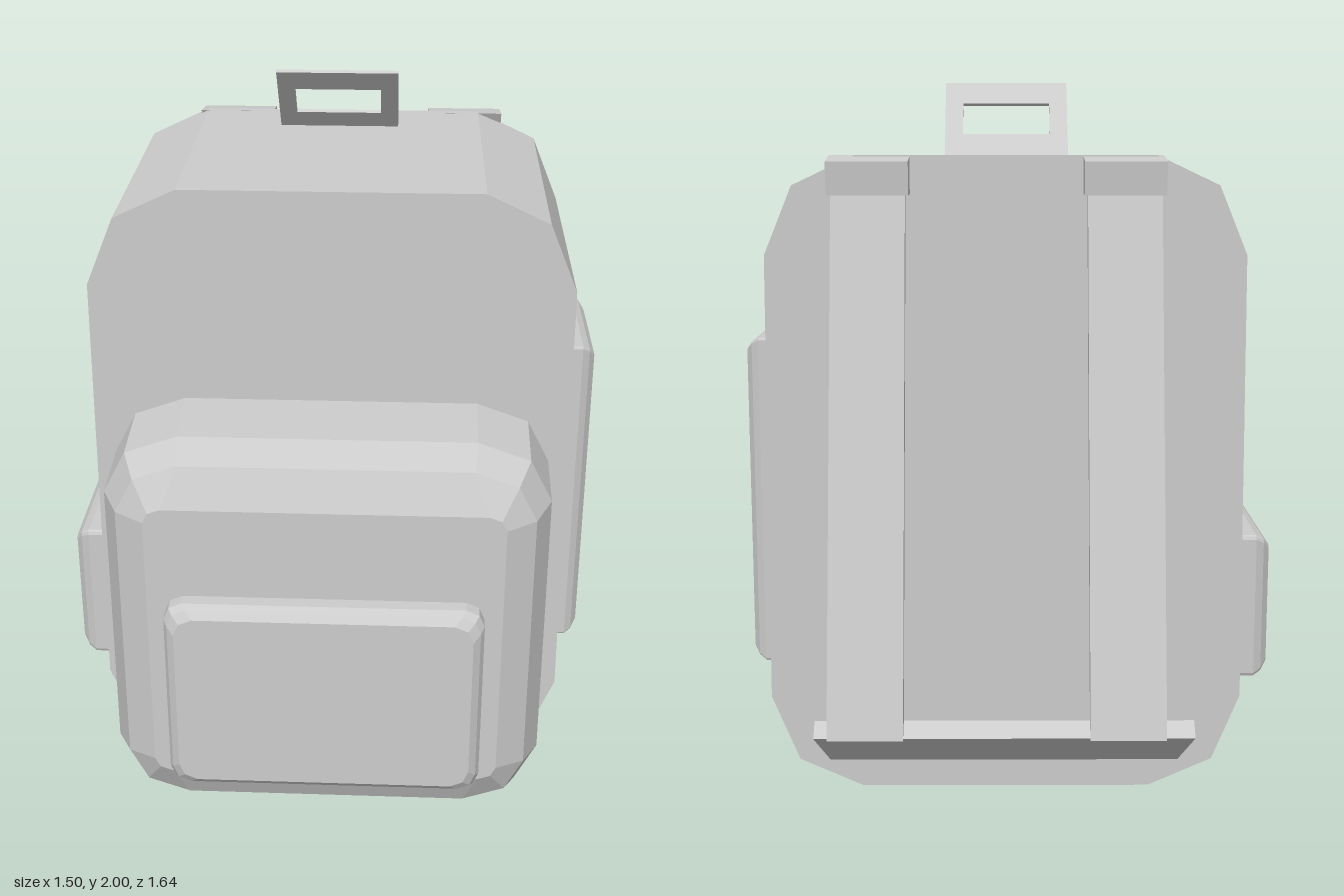
import * as THREE from 'three';

const material = new THREE.MeshStandardMaterial({ color: 0xcccccc, flatShading: true });

function addMesh(parent, name, geometry) {
  const mesh = new THREE.Mesh(geometry, material);
  mesh.name = name;
  parent.add(mesh);
  return mesh;
}

// Rectangle with two-step cut corners, counter-clockwise seen from +z
function ring({ x0, x1, y0, y1, cx, cy, z, taper = 0 }) {
  const kx = cx * 0.3, ky = cy * 0.3;
  const t = taper;
  return [
    [x0 + cx, y0], [x1 - cx, y0], [x1 - kx, y0 + ky], [x1, y0 + cy],
    [x1 - t, y1 - cy], [x1 - kx - t, y1 - ky], [x1 - cx, y1], [x0 + cx, y1],
    [x0 + kx + t, y1 - ky], [x0 + t, y1 - cy], [x0, y0 + cy], [x0 + kx, y0 + ky],
  ].map(([x, y]) => [x, y, z]);
}

// Closed solid through cross-sections ordered from back to front
function loft(sections) {
  const rings = sections.map(ring);
  const n = rings[0].length;
  const index = [];
  for (let s = 0; s < rings.length - 1; s++) {
    for (let i = 0; i < n; i++) {
      const j = (i + 1) % n;
      const a = s * n + i, b = s * n + j, c = b + n, d = a + n;
      index.push(a, b, c, a, c, d);
    }
  }
  const last = (rings.length - 1) * n;
  for (let i = 1; i < n - 1; i++) {
    index.push(0, i + 1, i, last, last + i, last + i + 1);
  }
  const geometry = new THREE.BufferGeometry();
  geometry.setAttribute('position', new THREE.Float32BufferAttribute(rings.flat(2), 3));
  geometry.setIndex(index);
  const flat = geometry.toNonIndexed();
  flat.computeVertexNormals();
  return flat;
}

// Side profile given as [z, y] points, extended from x0 to x1
function slab(profile, x0, x1) {
  const shape = new THREE.Shape(profile.map(([z, y]) => new THREE.Vector2(-z, y)));
  return new THREE.ExtrudeGeometry(shape, { depth: x1 - x0, bevelEnabled: false })
    .rotateY(Math.PI / 2)
    .translate(x0, 0, 0);
}

// Bevelled pocket, raised along z from 0 to height
function pocket(halfWidth, y0, y1, height, bevel, corner) {
  const section = (inset, z) => ({
    x0: -halfWidth + inset, x1: halfWidth - inset, y0: y0 + inset, y1: y1 - inset,
    cx: corner, cy: corner, z,
  });
  return loft([section(0, -0.03), section(0, height * 0.55), section(bevel * 0.35, height * 0.8), section(bevel, height)]);
}

export function createModel() {
  const backpack = new THREE.Group();
  backpack.name = 'backpack';

  // Main compartment
  const body = { x0: -0.665, x1: 0.675, y0: 0, cx: 0.26, cy: 0.27, taper: 0.01 };
  addMesh(backpack, 'mainBody', loft([
    { ...body, y1: 1.8, z: -0.405 },
    { ...body, y1: 1.787, z: 0.375 },
  ]));

  // Large front pocket, rounding in towards the front
  const front = (hw, y0, y1, c, z) => ({ x0: -hw + 0.005, x1: hw + 0.005, y0, y1, cx: c * 1.2, cy: c, z });
  addMesh(backpack, 'frontPocket', loft([
    front(0.61, 0.02, 1.185, 0.17, 0.35),
    front(0.605, 0.035, 1.175, 0.17, 0.6),
    front(0.56, 0.08, 1.135, 0.14, 0.695),
    front(0.48, 0.19, 1.03, 0.04, 0.745),
  ]));

  // Small pocket on the front
  addMesh(backpack, 'smallFrontPocket', pocket(0.43, 0.19, 0.77, 0.08, 0.03, 0.05))
    .position.set(0.005, 0, 0.74);

  // Tall pocket on the left side, short one on the right
  const tall = addMesh(backpack, 'leftSidePocket', pocket(0.21, 0.32, 1.28, 0.08, 0.035, 0.006));
  tall.rotation.y = Math.PI / 2;
  tall.position.set(0.67, 0, -0.02);
  const short = addMesh(backpack, 'rightSidePocket', pocket(0.35, 0.31, 0.73, 0.09, 0.035, 0.012));
  short.rotation.y = -Math.PI / 2;
  short.position.set(-0.66, 0, -0.01);

  // Carrying loop on top, leaning forward
  const loop = new THREE.Shape([[-0.17, -0.01], [0.175, -0.01], [0.175, 0.262], [-0.17, 0.262]]
    .map(([x, y]) => new THREE.Vector2(x, y)));
  loop.holes.push(new THREE.Path([[-0.12, 0.072], [-0.12, 0.184], [0.125, 0.184], [0.125, 0.072]]
    .map(([x, y]) => new THREE.Vector2(x, y))));
  const handle = addMesh(backpack, 'topHandle', new THREE.ExtrudeGeometry(loop, { depth: 0.01, bevelEnabled: false }));
  handle.rotation.x = 0.7;
  handle.position.set(0, 1.8, -0.245);

  // Shoulder straps with a cap at the upper end
  for (const [side, x] of [['right', -0.315], ['left', 0.375]]) {
    const strap = new THREE.Group();
    strap.name = side + 'Strap';
    backpack.add(strap);
    addMesh(strap, 'webbing', slab(
      [[-0.425, 1.72], [-0.46, 1.72], [-0.82, 0.295], [-0.785, 0.3]], x - 0.1, x + 0.1));
    addMesh(strap, 'cap', slab(
      [[-0.38, 1.8], [-0.495, 1.785], [-0.485, 1.695], [-0.41, 1.695], [-0.4, 1.76]], x - 0.11, x + 0.11));
  }

  // Wide panel joining the strap ends to the base of the back
  addMesh(backpack, 'lowerStrapPanel', slab(
    [[-0.39, 0.135], [-0.775, 0.335], [-0.815, 0.3], [-0.39, 0.07]], -0.49, 0.51));

  return backpack;
}
